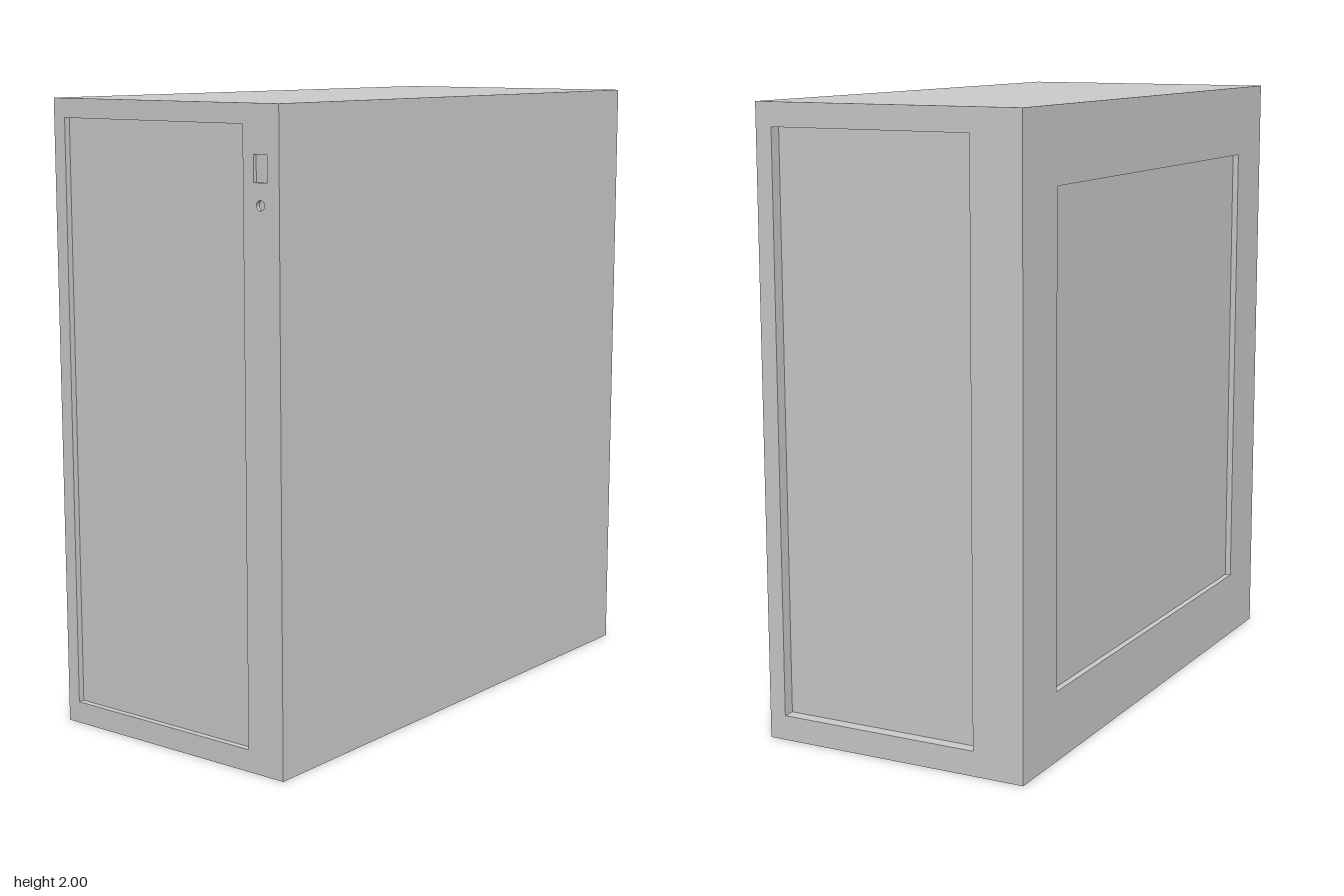
import * as THREE from 'three';

const W = 0.9, H = 2, D = 1.87;
const material = new THREE.MeshStandardMaterial({ color: 0xcccccc });

// Outlines run counter-clockwise as seen from outside the case
const rect = (x0, y0, x1, y1) =>
  [[x0, y0], [x1, y0], [x1, y1], [x0, y1]].map(([x, y]) => new THREE.Vector2(x, y));

const circle = (cx, cy, r, n = 20) => Array.from({ length: n }, (_, i) => {
  const a = (i / n) * Math.PI * 2;
  return new THREE.Vector2(cx + r * Math.cos(a), cy + r * Math.sin(a));
});

// Inward-facing side walls of a recess
function wallGeometry(points, depth) {
  const positions = [];
  points.forEach((a, i) => {
    const b = points[(i + 1) % points.length];
    positions.push(
      a.x, a.y, 0, b.x, b.y, 0, b.x, b.y, -depth,
      a.x, a.y, 0, b.x, b.y, -depth, a.x, a.y, -depth);
  });
  const geometry = new THREE.BufferGeometry();
  geometry.setAttribute('position', new THREE.Float32BufferAttribute(positions, 3));
  geometry.computeVertexNormals();
  return geometry;
}

// One outer face of the case with its sunken areas
function casePanel(name, width, height, recesses = []) {
  const group = new THREE.Group();
  group.name = name;
  const add = (part, geometry, z = 0) => {
    const mesh = new THREE.Mesh(geometry, material);
    mesh.name = part;
    mesh.position.z = z;
    group.add(mesh);
  };

  const face = new THREE.Shape(rect(-width / 2, 0, width / 2, height));
  for (const { part, points, depth } of recesses) {
    face.holes.push(new THREE.Path(points));
    add(part + 'Walls', wallGeometry(points, depth));
    add(part, new THREE.ShapeGeometry(new THREE.Shape(points)), -depth);
  }
  add(name + 'Face', new THREE.ShapeGeometry(face));
  return group;
}

export function createModel() {
  const model = new THREE.Group();
  model.name = 'computerCase';

  // Front: long inset panel, power button and small indicator light
  const front = casePanel('frontPanel', W, H, [
    { part: 'frontInset', points: rect(-0.405, 0.07, 0.315, 1.94), depth: 0.02 },
    { part: 'powerButton', points: rect(0.355, 1.775, 0.405, 1.855), depth: 0.012 },
    { part: 'indicatorLight', points: circle(0.38, 1.71, 0.015), depth: 0.012 },
  ]);
  front.position.z = D / 2;

  // Back: deep inset for the connectors
  const back = casePanel('backPanel', W, H, [
    { part: 'backInset', points: rect(-0.395, 0.08, 0.28, 1.925), depth: 0.04 },
  ]);
  back.rotation.y = Math.PI;
  back.position.z = -D / 2;

  // Sides: window on one, the other plain
  const windowSide = casePanel('windowSidePanel', D, H, [
    { part: 'sideWindow', points: rect(-0.715, 0.225, 0.725, 1.765), depth: 0.02 },
  ]);
  windowSide.rotation.y = -Math.PI / 2;
  windowSide.position.x = -W / 2;

  const plainSide = casePanel('plainSidePanel', D, H);
  plainSide.rotation.y = Math.PI / 2;
  plainSide.position.x = W / 2;

  // Top and bottom
  const top = casePanel('topPanel', W, D);
  top.rotation.x = -Math.PI / 2;
  top.position.set(0, H, D / 2);

  const bottom = casePanel('bottomPanel', W, D);
  bottom.rotation.x = Math.PI / 2;
  bottom.position.set(0, 0, -D / 2);

  model.add(front, back, windowSide, plainSide, top, bottom);
  return model;
}
